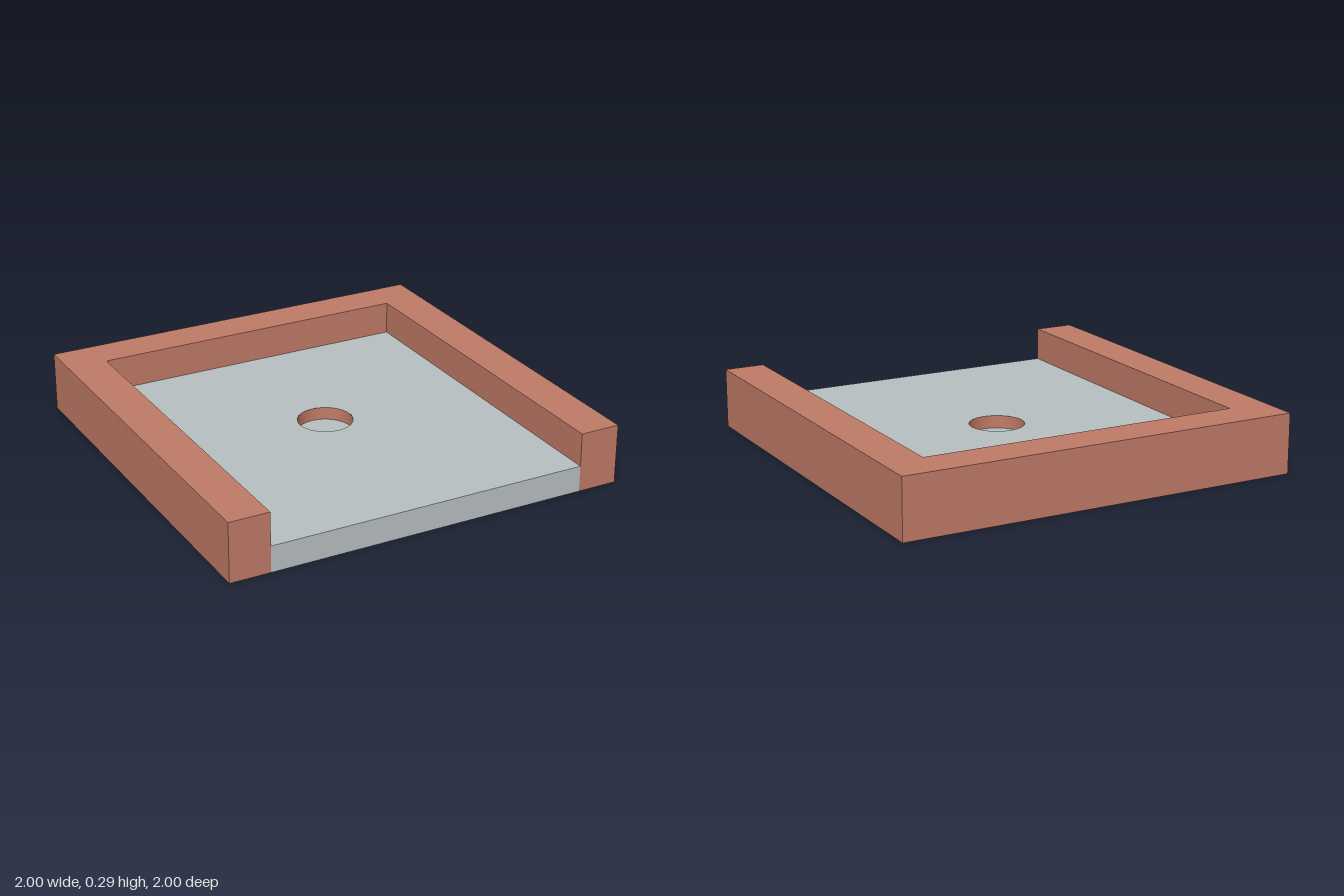
import * as THREE from 'three';

const HEIGHT = 0.295;      // rim height
const FLOOR = 0.13;        // floor surface height
const INNER = 0.8;         // inner half width of the tray
const HOLE_R = 0.135;
const HOLE_BOTTOM = 0.067;
const SEGMENTS = 64;

export function createModel() {
  const group = new THREE.Group();
  const clay = new THREE.MeshStandardMaterial({ color: 0xc17b68 });
  const grey = new THREE.MeshStandardMaterial({ color: 0xb9c0c3 });
  const clayInside = new THREE.MeshStandardMaterial({ color: 0xc17b68, side: THREE.BackSide });

  const add = (name, geometry, material, x = 0, y = 0, z = 0) => {
    const mesh = new THREE.Mesh(geometry, material);
    mesh.name = name;
    mesh.position.set(x, y, z);
    group.add(mesh);
    return mesh;
  };
  // Shapes are drawn in x and -z, then laid flat
  const outline = (points) => new THREE.Shape(points.map(([x, z]) => new THREE.Vector2(x, -z)));

  // U-shaped rim, open at the front
  const rim = outline([
    [-1, 1], [-INNER, 1], [-INNER, -INNER], [INNER, -INNER],
    [INNER, 1], [1, 1], [1, -1], [-1, -1],
  ]);
  add('rim', new THREE.ExtrudeGeometry(rim, { depth: HEIGHT, bevelEnabled: false }).rotateX(-Math.PI / 2), clay);

  // Floor surface with a round opening
  const floor = outline([[-INNER, 1], [INNER, 1], [INNER, -INNER], [-INNER, -INNER]]);
  floor.holes.push(new THREE.Path().absarc(0, 0, HOLE_R, 0, Math.PI * 2, true));
  add('floor', new THREE.ShapeGeometry(floor, SEGMENTS).rotateX(-Math.PI / 2), grey, 0, FLOOR);

  // Front edge and underside of the floor
  add('floorFrontEdge', new THREE.PlaneGeometry(2 * INNER, FLOOR), grey, 0, FLOOR / 2, 1);
  add('underside', new THREE.PlaneGeometry(2 * INNER, 1 + INNER).rotateX(Math.PI / 2), clay, 0, 0, (1 - INNER) / 2);

  // Blind hole: inward-facing wall and flat bottom
  const depth = FLOOR - HOLE_BOTTOM;
  add('holeWall', new THREE.CylinderGeometry(HOLE_R, HOLE_R, depth, SEGMENTS, 1, true), clayInside, 0, HOLE_BOTTOM + depth / 2);
  add('holeBottom', new THREE.CircleGeometry(HOLE_R, SEGMENTS).rotateX(-Math.PI / 2), grey, 0, HOLE_BOTTOM);

  return group;
}
